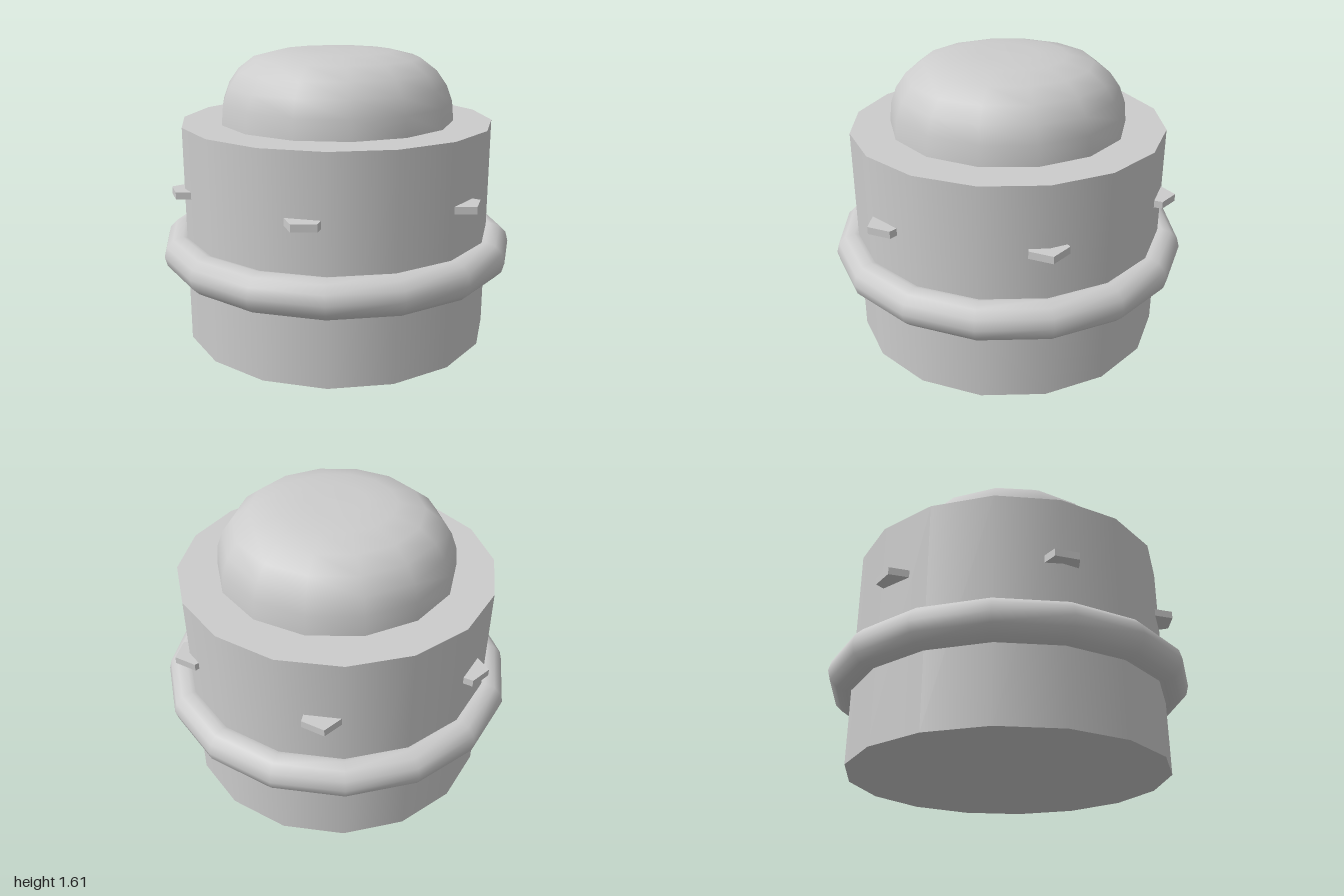
import * as THREE from 'three';

export function createModel() {
  const model = new THREE.Group();
  model.name = 'domedCap';
  const grey = new THREE.MeshStandardMaterial({ color: 0xcccccc });
  grey.name = 'light grey';

  const add = (name, geometry, x, y, z) => {
    const mesh = new THREE.Mesh(geometry, grey);
    mesh.name = name;
    mesh.position.set(x, y, z);
    model.add(mesh);
  };

  // Drum with smooth sides and flat ends
  add('body', new THREE.CylinderGeometry(0.87, 0.87, 1.213, 16), 0, 0.6065, 0);

  // Round band about the drum
  add('ring', new THREE.TorusGeometry(0.895, 0.105, 12, 16).rotateX(Math.PI / 2), 0, 0.5, 0);

  // Flattened dome, with a corner towards +x
  const profile = [
    [0.655, 1.213], [0.645, 1.32], [0.612, 1.41], [0.555, 1.49],
    [0.465, 1.558], [0.32, 1.594], [0.17, 1.602], [0, 1.606],
  ].map(([r, y]) => new THREE.Vector2(r, y));
  add('dome', new THREE.LatheGeometry(profile, 14).rotateY(Math.PI / 2), 0, 0, 0);

  // Six small five-sided studs, all turned the same way and half sunk in the drum
  const stud = new THREE.CylinderGeometry(0.11, 0.11, 0.04, 5).rotateY(Math.PI / 2).toNonIndexed();
  stud.computeVertexNormals();
  for (let i = 0; i < 6; i++) {
    const a = (i * Math.PI) / 3;
    add(`stud${i + 1}`, stud, 0.84 * Math.cos(a), 0.86, 0.84 * Math.sin(a));
  }
  return model;
}
